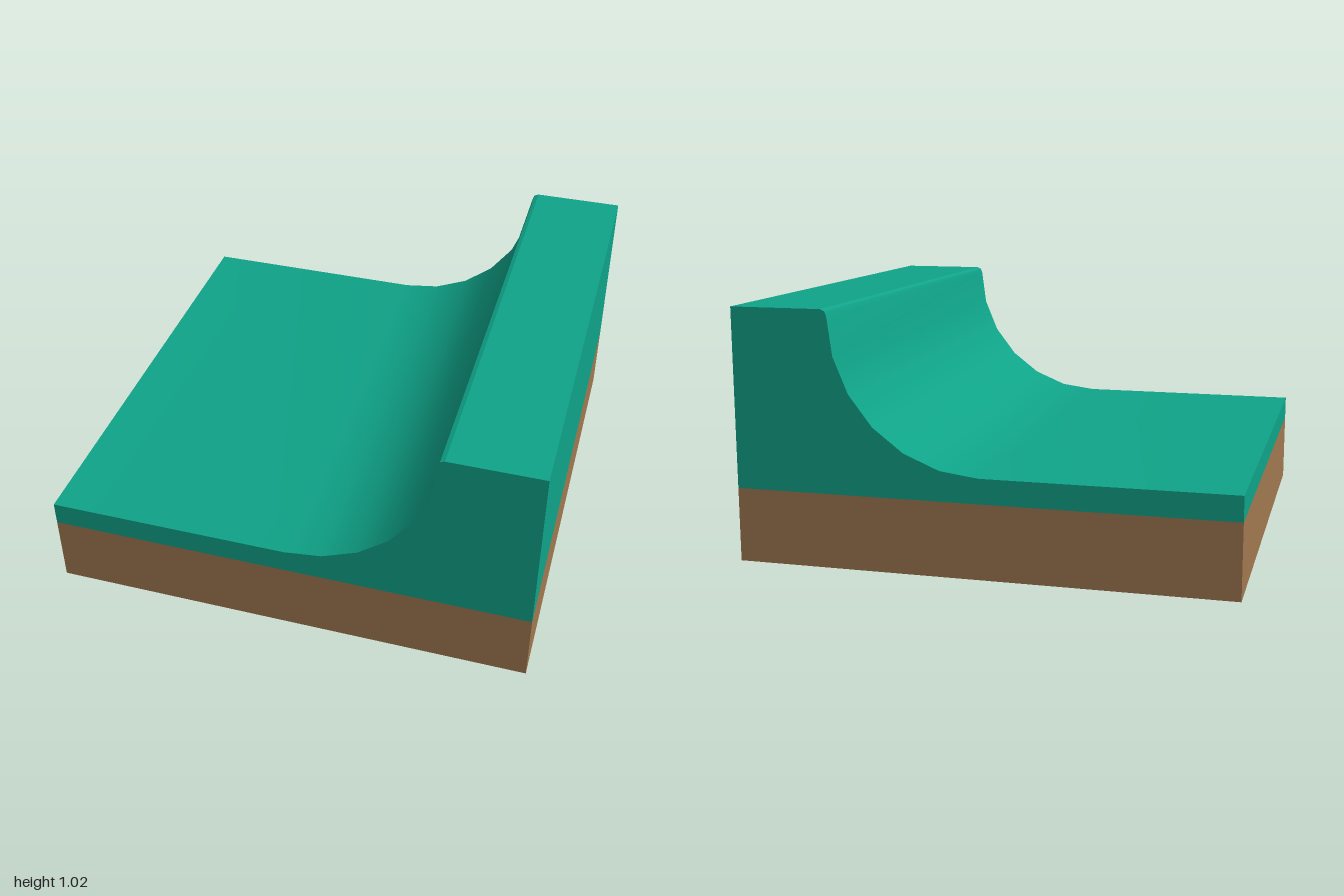
import * as THREE from 'three';
import { toCreasedNormals } from 'three/addons/utils/BufferGeometryUtils.js';

const SIZE = 2, BASE_H = 0.3, FLOOR_Y = 0.4, RADIUS = 0.6, LIP = 0.025;

// Points on a circular arc, angles in degrees
function arc(cx, cy, r, from, to, steps) {
  return Array.from({ length: steps + 1 }, (_, i) => {
    const a = THREE.MathUtils.degToRad(from + ((to - from) * i) / steps);
    return new THREE.Vector2(cx + r * Math.cos(a), cy + r * Math.sin(a));
  });
}

export function createModel() {
  const model = new THREE.Group();
  model.name = 'quarterPipeTile';
  const half = SIZE / 2;

  // Earth slab
  const base = new THREE.Mesh(
    new THREE.BoxGeometry(SIZE, BASE_H, SIZE),
    new THREE.MeshStandardMaterial({ color: 0xa17850 })
  );
  base.name = 'earthBase';
  base.position.y = BASE_H / 2;
  model.add(base);

  // Ground profile: flat floor, concave quarter curve, small rounded lip, top ledge
  const centreY = FLOOR_Y + RADIUS;
  const profile = new THREE.Shape([
    new THREE.Vector2(half, BASE_H),
    new THREE.Vector2(half, centreY + LIP),
    ...arc(RADIUS + LIP, centreY, LIP, 90, 180, 2),
    ...arc(0, centreY, RADIUS, 0, -90, 6).slice(1),
    new THREE.Vector2(-half, FLOOR_Y),
    new THREE.Vector2(-half, BASE_H),
  ]);
  const geometry = new THREE.ExtrudeGeometry(profile, { depth: SIZE, bevelEnabled: false, steps: 1 });
  geometry.translate(0, 0, -half);
  const ramp = new THREE.Mesh(
    toCreasedNormals(geometry, 0.35),
    new THREE.MeshStandardMaterial({ color: 0x0fa388 })
  );
  ramp.name = 'curvedRamp';
  model.add(ramp);

  return model;
}
